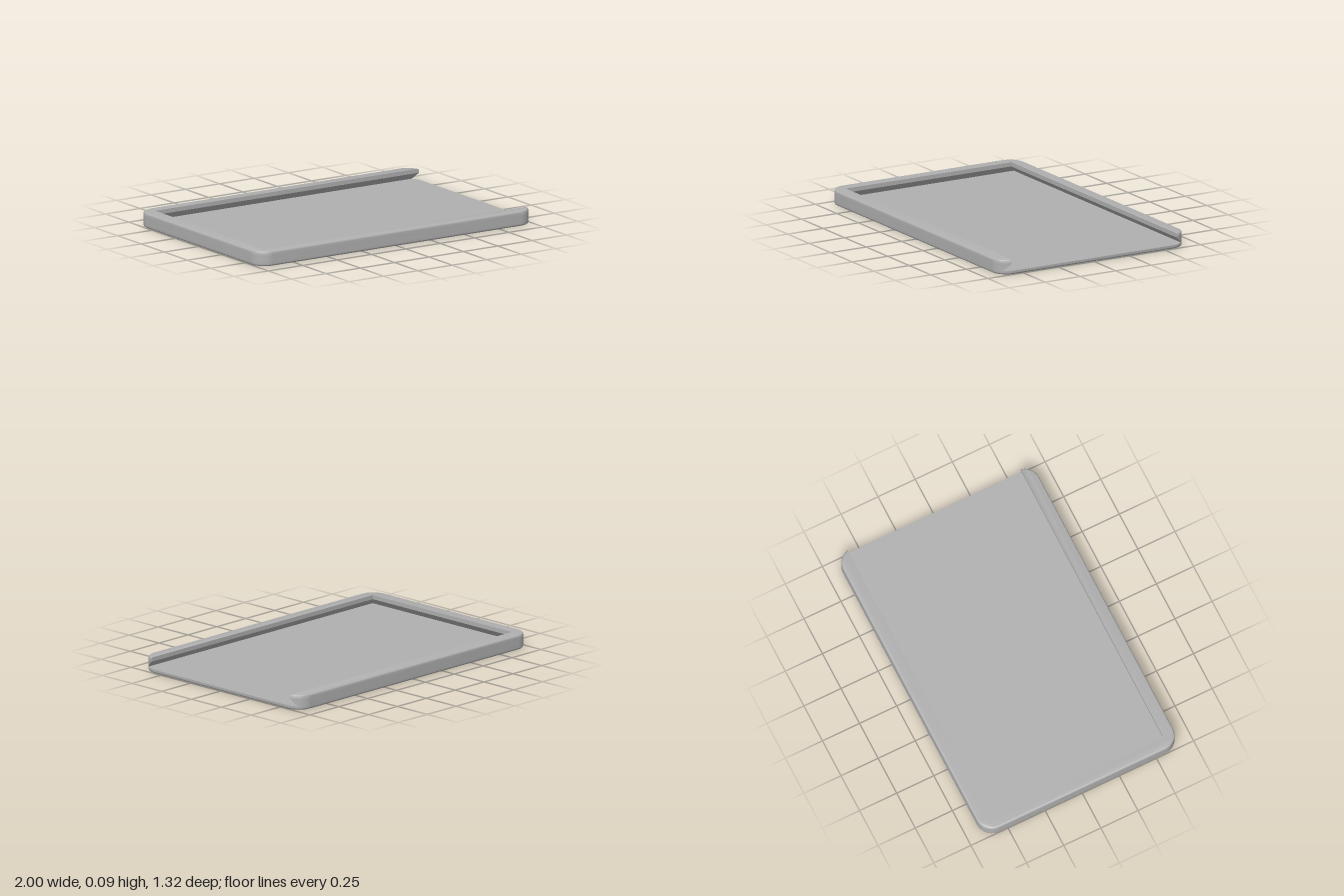
import * as THREE from 'three';
import { toCreasedNormals } from 'three/addons/utils/BufferGeometryUtils.js';

const HALF_X = 1, HALF_Z = 0.66, RADIUS = 0.1;
const FLOOR_Y = 0.024, LIP_Y = 0.067, TOP_Y = 0.093, FILLET = 0.012;

// Rounded-rectangle outline, pulled in by inset. With a slot half-width it
// becomes a C shape whose open end is at +x.
function outline(inset, slot) {
  const r = RADIUS - inset, cx = HALF_X - RADIUS, cz = HALF_Z - RADIUS;
  const start = slot ? Math.asin((slot - cz) / r) : 0;
  const q = Math.PI / 2;
  const spans = [[1, 1, start, q], [-1, 1, q, 2 * q], [-1, -1, 2 * q, 3 * q], [1, -1, 3 * q, 4 * q - start]];
  const points = [];
  for (const [sx, sz, a, b] of spans) {
    for (let i = 0; i <= 10; i++) {
      const t = a + (b - a) * i / 10;
      points.push(new THREE.Vector2(sx * cx + r * Math.cos(t), sz * cz + r * Math.sin(t)));
    }
  }
  if (slot) {
    const end = -(slot + 0.337);
    points.push(new THREE.Vector2(end, -slot), new THREE.Vector2(end, slot));
  }
  return points;
}

// Skin stacked outlines and close them at the bottom and top.
function loft(layers) {
  const n = layers[0].ring.length, positions = [], index = [];
  for (const { y, ring } of layers) for (const p of ring) positions.push(p.x, y, p.y);
  for (let k = 0; k < layers.length - 1; k++) {
    for (let i = 0; i < n; i++) {
      const a = k * n + i, b = k * n + (i + 1) % n;
      index.push(a, a + n, b, b, a + n, b + n);
    }
  }
  const last = (layers.length - 1) * n;
  for (const [a, b, c] of THREE.ShapeUtils.triangulateShape(layers[0].ring, [])) index.push(a, b, c);
  for (const [a, b, c] of THREE.ShapeUtils.triangulateShape(layers[layers.length - 1].ring, [])) {
    index.push(last + a, last + c, last + b);
  }
  const geometry = new THREE.BufferGeometry();
  geometry.setAttribute('position', new THREE.Float32BufferAttribute(positions, 3));
  geometry.setIndex(index);
  return toCreasedNormals(geometry, 0.5);
}

export function createModel() {
  const group = new THREE.Group();
  group.name = 'slidingLidTray';
  const grey = new THREE.MeshStandardMaterial({ color: 0xb0b0b0 });
  grey.name = 'grey';

  const add = (name, layers) => {
    const mesh = new THREE.Mesh(loft(layers), grey);
    mesh.name = name;
    group.add(mesh);
  };

  // Floor plate with a rounded lower edge
  const floor = [];
  for (let i = 0; i <= 5; i++) {
    const t = i / 5 * Math.PI / 2;
    floor.push({ y: FILLET * (1 - Math.cos(t)), ring: outline(FILLET * (1 - Math.sin(t))) });
  }
  floor.push({ y: FLOOR_Y, ring: outline(0) });
  add('floor', floor);

  // Three-sided rim: dovetail undercut, upright lip, rounded upper edge
  const lip = 0.583, undercut = 0.628;
  const rim = [];
  for (let i = 0; i <= 6; i++) {
    const t = i / 6;
    rim.push({ y: FLOOR_Y + (LIP_Y - FLOOR_Y) * t, ring: outline(0, undercut + (lip - undercut) * t) });
  }
  for (let i = 0; i <= 5; i++) {
    const t = i / 5 * Math.PI / 2;
    rim.push({ y: TOP_Y - FILLET * (1 - Math.sin(t)), ring: outline(FILLET * (1 - Math.cos(t)), lip) });
  }
  add('dovetailRim', rim);

  return group;
}
